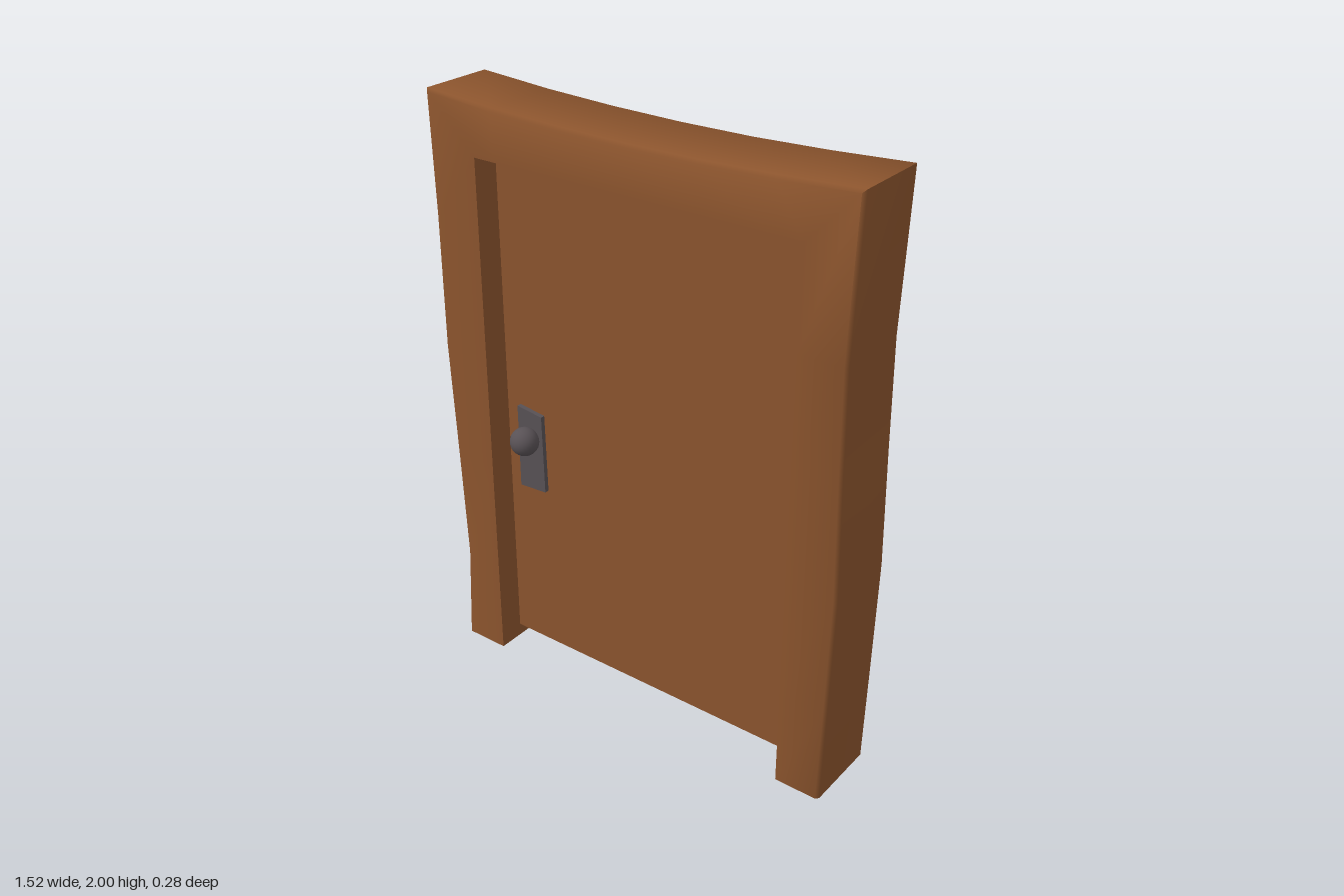
import * as THREE from 'three';
import { toCreasedNormals } from 'three/addons/utils/BufferGeometryUtils.js';

const wood = new THREE.MeshStandardMaterial({ color: 0x8b542d });
wood.name = 'brown wood';
const iron = new THREE.MeshStandardMaterial({ color: 0x585155 });
iron.name = 'dark iron';

const DEPTH = 0.138, BEVEL = 0.01, DOOR = 0.045;
const LEFT = -0.575, RIGHT = 0.587, HEAD = 1.82;

// Wavy outer edge of the frame, up one jamb, across the sagging head, down the other
const outline = [
  [-0.74, 0], [-0.72, 0.35], [-0.737, 0.75], [-0.756, 1.15], [-0.756, 1.6],
  [-0.765, 2], [-0.5, 1.983], [-0.25, 1.974], [0, 1.971], [0.25, 1.974], [0.5, 1.984], [0.76, 2],
  [0.744, 1.5], [0.75, 1.15], [0.76, 0.75], [0.752, 0.35], [0.744, 0],
];
const CORNER_A = 5, CORNER_B = 11;

// Point of the straight inner edge that faces an outer point
function innerPoint([x, y], i) {
  if (i === CORNER_A) return [LEFT, HEAD];
  if (i === CORNER_B) return [RIGHT, HEAD];
  if (i < CORNER_A) return [LEFT, y];
  if (i > CORNER_B) return [RIGHT, y];
  return [x, HEAD];
}

// Outer point pulled in by the bevel
function insetPoint([x, y], i) {
  const dx = i <= CORNER_A ? BEVEL : i >= CORNER_B ? -BEVEL : 0;
  const dy = i >= CORNER_A && i <= CORNER_B ? -BEVEL : 0;
  return [x + dx, y + dy];
}

// Closed cross-sections joined along the outline, with capped feet
function frameGeometry() {
  const sides = 6, positions = [], index = [];
  outline.forEach((p, i) => {
    const inner = innerPoint(p, i), inset = insetPoint(p, i);
    positions.push(
      ...inner, DEPTH, ...inset, DEPTH, ...p, DEPTH - BEVEL,
      ...p, BEVEL - DEPTH, ...inset, -DEPTH, ...inner, -DEPTH);
  });
  for (let i = 0; i < outline.length - 1; i++) {
    for (let j = 0; j < sides; j++) {
      const a = i * sides + j, b = i * sides + (j + 1) % sides;
      index.push(a, a + sides, b, b, a + sides, b + sides);
    }
  }
  const last = (outline.length - 1) * sides;
  for (let j = 1; j < sides - 1; j++) {
    index.push(0, j, j + 1, last, last + j + 1, last + j);
  }
  const geometry = new THREE.BufferGeometry();
  geometry.setAttribute('position', new THREE.Float32BufferAttribute(positions, 3));
  geometry.setIndex(index);
  return toCreasedNormals(geometry, 0.95);
}

function addMesh(parent, name, geometry, material, x = 0, y = 0, z = 0) {
  const mesh = new THREE.Mesh(geometry, material);
  mesh.name = name;
  mesh.position.set(x, y, z);
  parent.add(mesh);
  return mesh;
}

// Slightly crooked plate with a stem and round knob, facing +z
function makeHandle(side) {
  const handle = new THREE.Group();
  handle.name = side > 0 ? 'frontHandle' : 'backHandle';
  const corners = [[-0.52, 0.66], [-0.412, 0.667], [-0.418, 0.95], [-0.52, 0.963]];
  const shape = new THREE.Shape(corners.map(([x, y]) => new THREE.Vector2(side * x, y)));
  const plate = new THREE.ExtrudeGeometry(shape, { depth: 0.018, bevelEnabled: false });
  addMesh(handle, 'handlePlate', plate, iron, 0, 0, DOOR - 0.002);
  const stem = new THREE.CylinderGeometry(0.02, 0.02, 0.05, 16).rotateX(Math.PI / 2);
  addMesh(handle, 'knobStem', stem, iron, side * -0.468, 0.858, DOOR + 0.03);
  addMesh(handle, 'knob', new THREE.SphereGeometry(0.049, 24, 16), iron, side * -0.468, 0.858, 0.091);
  if (side < 0) handle.rotation.y = Math.PI;
  return handle;
}

export function createModel() {
  const model = new THREE.Group();
  model.name = 'door';

  addMesh(model, 'doorFrame', frameGeometry(), wood);

  // Recessed door leaf, lifted off the floor
  const bottom = 0.045;
  addMesh(model, 'doorLeaf', new THREE.BoxGeometry(RIGHT - LEFT, HEAD - bottom, DOOR * 2), wood,
    (LEFT + RIGHT) / 2, (HEAD + bottom) / 2, 0);

  // Matching handles on both faces
  for (const side of [1, -1]) model.add(makeHandle(side));
  return model;
}
